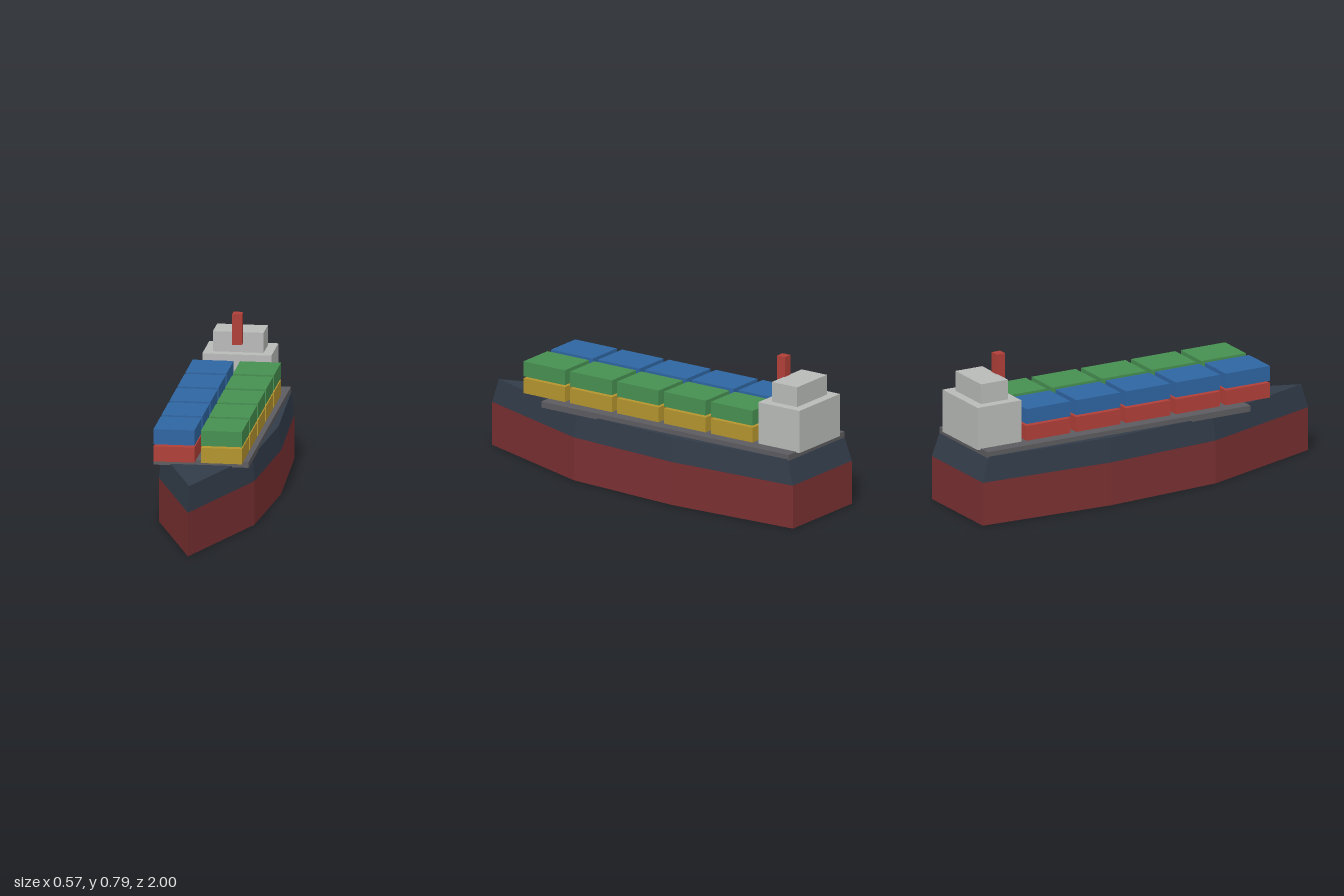
import * as THREE from 'three';

const mat = (name, color) => {
  const m = new THREE.MeshStandardMaterial({ color });
  m.name = name;
  return m;
};

// Hull outline on the +x side from stern to widest point to shoulder: [x, z]
const SIDE = [[0.25, -1], [0.283, -0.29], [0.237, 0.335]];

// Prism over the hull outline, with its top scaled in by taper
function hullSection(y0, y1, taper) {
  const shape = new THREE.Shape([
    [0, 1],
    ...[...SIDE].reverse(),
    ...SIDE.map(([x, z]) => [-x, z]),
  ].map(([x, z]) => new THREE.Vector2(x, -z)));
  const geo = new THREE.ExtrudeGeometry(shape, { depth: y1 - y0, bevelEnabled: false });
  geo.rotateX(-Math.PI / 2);
  const p = geo.attributes.position;
  for (let i = 0; i < p.count; i++) {
    if (p.getY(i) > (y1 - y0) / 2) {
      p.setX(i, p.getX(i) * taper);
      p.setZ(i, p.getZ(i) * taper);
    }
  }
  geo.translate(0, y0, 0);
  geo.computeVertexNormals();
  return geo;
}

export function createModel() {
  const ship = new THREE.Group();
  ship.name = 'containerShip';

  const hullRed = mat('hull red', 0x7a3032);
  const hullNavy = mat('hull navy', 0x323c49);
  const deckGrey = mat('deck grey', 0x5c5c60);
  const houseGrey = mat('house grey', 0xb8bab8);
  const red = mat('red', 0xb03f38);
  const yellow = mat('yellow', 0xb4942e);
  const blue = mat('blue', 0x2e65a2);
  const green = mat('green', 0x468f50);

  const add = (name, geo, material, parent = ship) => {
    const mesh = new THREE.Mesh(geo, material);
    mesh.name = name;
    parent.add(mesh);
  };
  // Box given by its extents along each axis
  const box = (name, [x0, x1], [y0, y1], [z0, z1], material, parent) => {
    const geo = new THREE.BoxGeometry(x1 - x0, y1 - y0, z1 - z0);
    geo.translate((x0 + x1) / 2, (y0 + y1) / 2, (z0 + z1) / 2);
    add(name, geo, material, parent);
  };

  // Hull and deck
  add('lowerHull', hullSection(0, 0.222, 1), hullRed);
  add('upperHull', hullSection(0.222, 0.347, 0.96), hullNavy);
  box('deck', [-0.237, 0.237], [0.34, 0.371], [-0.965, 0.533], deckGrey);

  // Superstructure at the stern
  box('deckhouse', [-0.172, 0.172], [0.367, 0.585], [-0.984, -0.735], houseGrey);
  box('bridge', [-0.126, 0.126], [0.585, 0.687], [-0.938, -0.785], houseGrey);
  box('funnel', [-0.024, 0.024], [0.632, 0.789], [-0.79, -0.742], red);

  // Container stacks: five rows, two columns, two tiers
  const containers = new THREE.Group();
  containers.name = 'containers';
  ship.add(containers);
  const tiers = [
    { y: [0.388, 0.465], right: red, left: yellow },
    { y: [0.475, 0.552], right: blue, left: green },
  ];
  for (let row = 0; row < 5; row++) {
    const z = [0.402 - row * 0.284, 0.654 - row * 0.284];
    for (const { y, right, left } of tiers) {
      box('rightContainer', [-0.22, -0.016], y, z, right, containers);
      box('leftContainer', [0.016, 0.22], y, z, left, containers);
    }
  }
  return ship;
}
